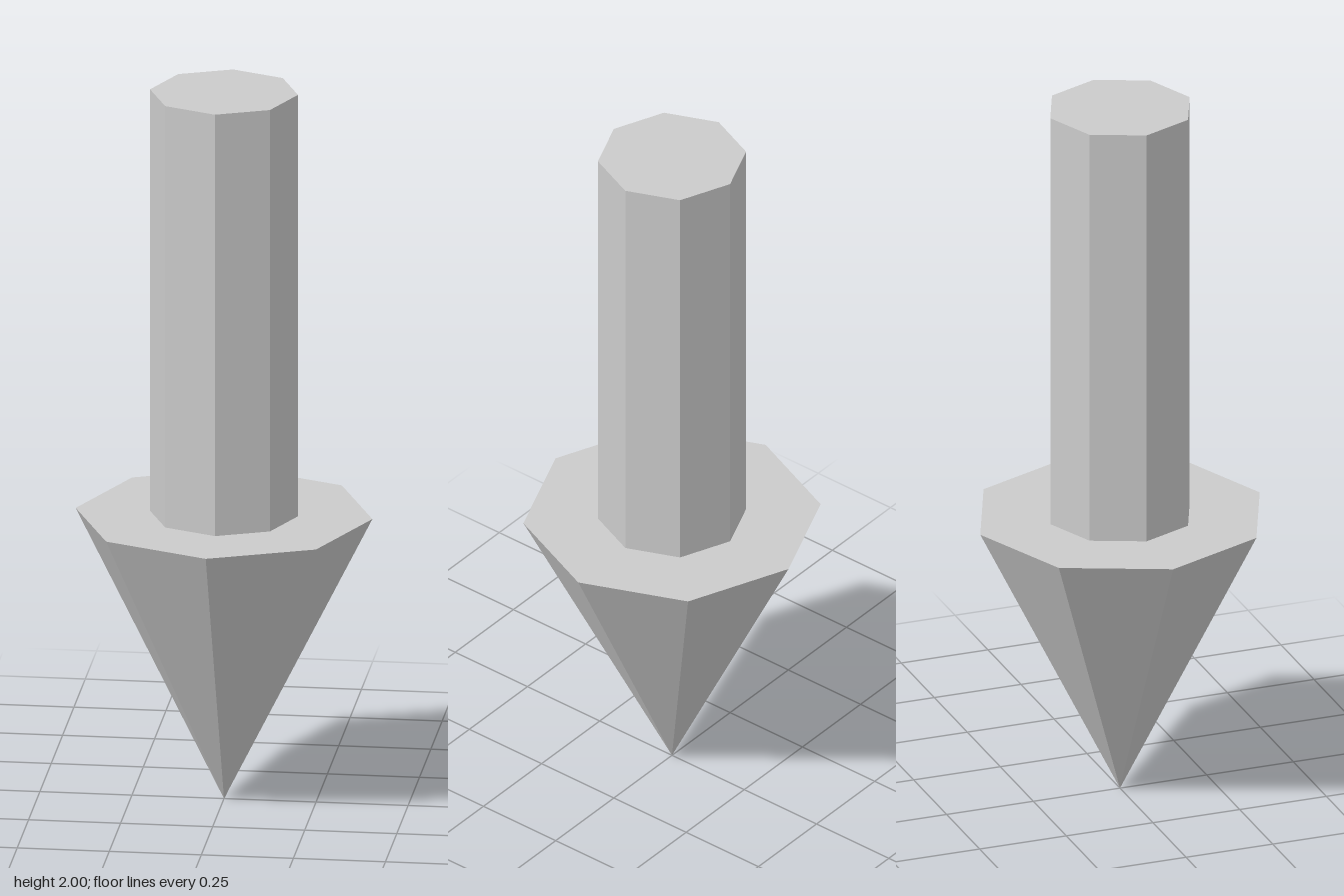
import * as THREE from 'three';

const SIDES = 8;
const HEIGHT = 2;
const HEAD_HEIGHT = 0.807;
const HEAD_RADIUS = 0.403;
const SHAFT_RADIUS = 0.201;

export function createModel() {
  const group = new THREE.Group();
  group.name = 'downArrow';
  const material = new THREE.MeshStandardMaterial({ color: 0xcccccc, flatShading: true });

  // Adds an eight-sided part spanning bottom to top
  const addPart = (name, topRadius, bottomRadius, bottom, top) => {
    const geometry = new THREE.CylinderGeometry(topRadius, bottomRadius, top - bottom, SIDES);
    const mesh = new THREE.Mesh(geometry, material);
    mesh.name = name;
    mesh.position.y = (bottom + top) / 2;
    group.add(mesh);
  };

  // Pointed head, tip on the ground
  addPart('arrowHead', HEAD_RADIUS, 0, 0, HEAD_HEIGHT);

  // Straight shaft standing on the head
  addPart('arrowShaft', SHAFT_RADIUS, SHAFT_RADIUS, HEAD_HEIGHT, HEIGHT);

  return group;
}
